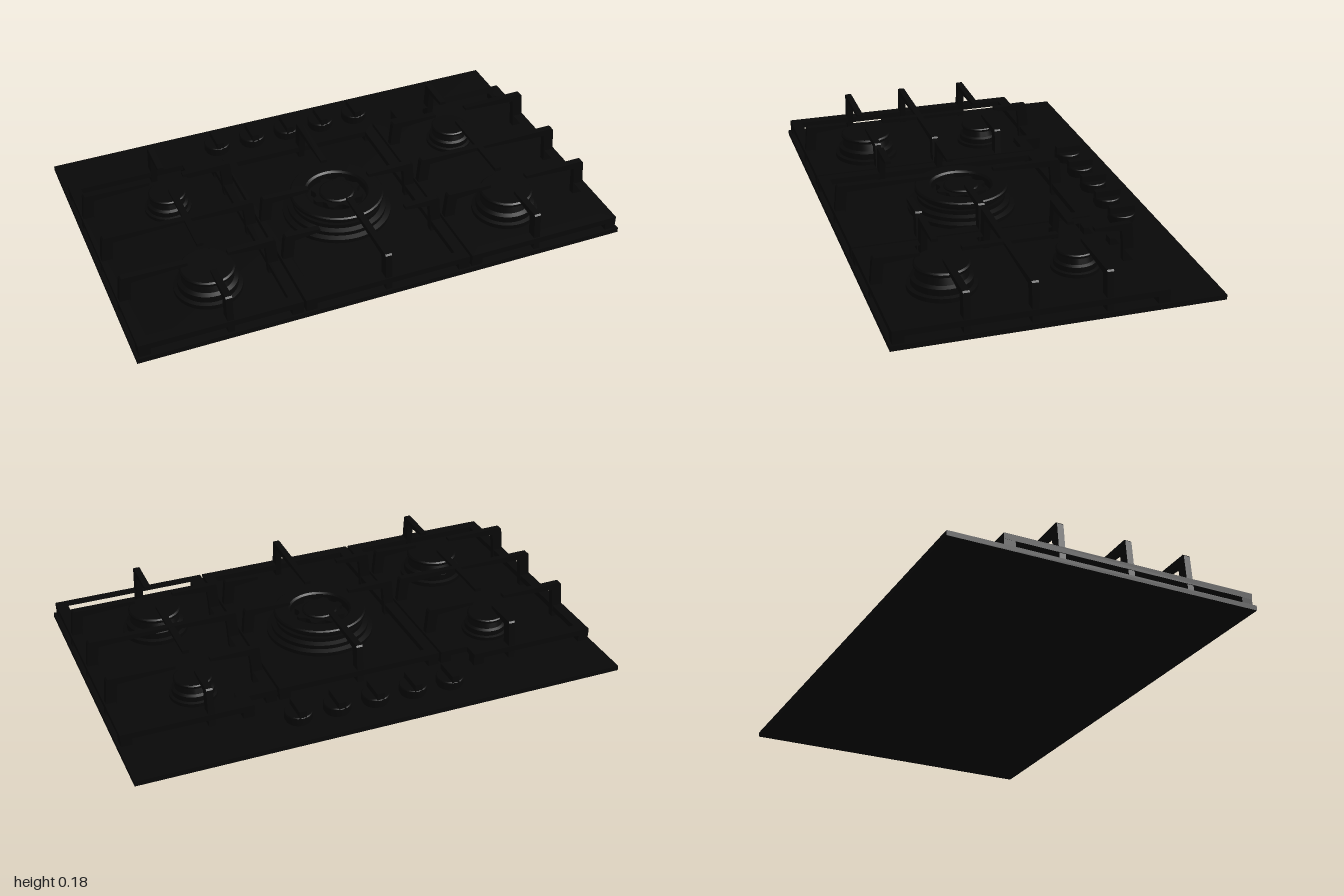
import * as THREE from 'three';
import { toCreasedNormals } from 'three/addons/utils/BufferGeometryUtils.js';

const DECK = 0.02, FRAME_TOP = 0.072, FRAME_LOW = 0.048, BAR = 0.045;

export function createModel() {
  const model = new THREE.Group();
  model.name = 'gasHob';
  const black = new THREE.MeshStandardMaterial({ color: 0x080808 });

  function add(name, geometry, parent = model, x = 0, y = 0, z = 0) {
    const mesh = new THREE.Mesh(geometry, black);
    mesh.name = name;
    mesh.position.set(x, y, z);
    parent.add(mesh);
    return mesh;
  }
  function group(name, x = 0, y = 0, z = 0) {
    const g = new THREE.Group();
    g.name = name;
    g.position.set(x, y, z);
    model.add(g);
    return g;
  }
  const points = list => list.map(([x, y]) => new THREE.Vector2(x, y));
  const lathe = (profile, sides = 48) =>
    toCreasedNormals(new THREE.LatheGeometry(points(profile), sides), 0.5);

  // Flat ring of bars following an outline in x and z
  function frame(parent, outer, inner) {
    const shape = new THREE.Shape(points(outer));
    shape.holes.push(new THREE.Path(points(inner)));
    const geo = new THREE.ExtrudeGeometry(shape, { depth: FRAME_TOP - FRAME_LOW, bevelEnabled: false });
    geo.rotateX(Math.PI / 2);
    add('grateFrame', geo, parent, 0, FRAME_TOP, 0);
  }

  // Bent finger: leg rising from the deck, then a tapering arm pointing inward
  function finger(parent, x, z, angle, length) {
    const shape = new THREE.Shape(points([
      [0, DECK], [0.045, DECK], [0.05, 0.1], [0.056, 0.15], [length, 0.162], [length, 0.174],
      [0.02, 0.178], [0.014, 0.172],
    ]));
    const geo = new THREE.ExtrudeGeometry(shape, { depth: 0.026, bevelEnabled: false });
    geo.translate(0, 0, -0.013);
    add('grateFinger', geo, parent, x, 0, z).rotation.y = angle;
  }

  function foot(parent, x, z) {
    const h = FRAME_LOW - DECK;
    add('grateFoot', new THREE.BoxGeometry(BAR, h, BAR), parent, x, DECK + h / 2, z);
  }

  // Deck plate
  add('deck', new THREE.BoxGeometry(2, DECK, 1.26), model, 0, DECK / 2, 0);

  // Side grates, with a stepped back corner beside the knobs
  for (const s of [1, -1]) {
    const grate = group(s > 0 ? 'leftGrate' : 'rightGrate');
    const mirror = list => list.map(([x, z]) => [s * x, z]);
    frame(grate,
      mirror([[0.99, -0.41], [0.465, -0.41], [0.465, -0.345], [0.35, -0.345], [0.35, 0.62], [0.99, 0.62]]),
      mirror([[0.945, -0.365], [0.51, -0.365], [0.51, -0.3], [0.395, -0.3], [0.395, 0.575], [0.945, 0.575]]));
    for (const [x, z] of [[0.967, -0.387], [0.488, -0.387], [0.373, -0.322], [0.373, 0.597], [0.967, 0.597]])
      foot(grate, s * x, z);
    const inward = s > 0 ? Math.PI : 0;
    for (const [z, outerLength, innerLength] of [[-0.18, 0.285, 0.215], [0.1, 0.33, 0.32], [0.35, 0.275, 0.205]]) {
      finger(grate, s * 0.99, z, inward, outerLength);
      finger(grate, s * 0.35, z, Math.PI - inward, innerLength);
    }
    finger(grate, s * 0.635, -0.41, -Math.PI / 2, 0.165);
    finger(grate, s * 0.635, 0.62, Math.PI / 2, 0.19);
    add('grateBridge', new THREE.BoxGeometry(0.026, 0.014, 0.37), grate, s * 0.635, 0.167, 0.085);
  }

  // Centre grate
  const centre = group('centreGrate');
  frame(centre,
    [[-0.34, -0.345], [0.34, -0.345], [0.34, 0.62], [-0.34, 0.62]],
    [[-0.295, -0.3], [0.295, -0.3], [0.295, 0.575], [-0.295, 0.575]]);
  for (const s of [1, -1]) {
    const inward = s > 0 ? Math.PI : 0;
    finger(centre, s * 0.34, 0.1, inward, 0.21);
    finger(centre, s * 0.34, 0.35, inward, 0.16);
    for (const z of [-0.322, 0.597]) foot(centre, s * 0.317, z);
  }
  finger(centre, 0, -0.345, -Math.PI / 2, 0.3);
  finger(centre, 0, 0.62, Math.PI / 2, 0.4);

  // Corner burners: flared body under a flat cap
  function burner(name, x, z, r, top) {
    const g = group(name, x, 0, z);
    const h = top - DECK, y = t => DECK + t * h;
    add('burnerBody', lathe([
      [r * 1.25, DECK], [r * 1.25, y(0.17)], [r * 1.1, y(0.2)], [r * 1.1, y(0.45)],
      [r * 0.95, y(0.52)], [r * 0.85, y(0.85)], [0, y(0.85)],
    ]), g);
    add('burnerCap', lathe([
      [0, y(0.84)], [r * 0.98, y(0.84)], [r, y(0.88)], [r, y(0.95)], [r * 0.94, top], [0, top],
    ]), g);
  }
  for (const s of [1, -1]) {
    const side = s > 0 ? 'left' : 'right';
    burner(side + 'FrontBurner', s * 0.635, 0.345, 0.107, 0.124);
    burner(side + 'BackBurner', s * 0.635, -0.175, 0.076, 0.104);
  }

  // Large centre burner: outer ring crown around a notched inner crown
  const wok = group('centreBurner', 0, 0, 0.09);
  add('burnerBase', lathe([
    [0.22, DECK], [0.22, 0.036], [0.2, 0.042], [0.2, 0.058], [0.18, 0.064], [0.18, 0.08], [0, 0.08],
  ], 64), wok);
  add('outerCrown', lathe([
    [0.165, 0.078], [0.17, 0.1], [0.19, 0.102], [0.19, 0.114], [0.184, 0.119],
    [0.13, 0.119], [0.122, 0.112], [0.122, 0.078],
  ], 64), wok);
  const star = new THREE.Shape();
  for (let i = 0; i < 32; i++) {
    const r = i % 4 < 2 ? 0.105 : 0.085, a = (i + 0.5) / 32 * Math.PI * 2;
    star[i ? 'lineTo' : 'moveTo'](r * Math.cos(a), r * Math.sin(a));
  }
  const crown = new THREE.ExtrudeGeometry(star, { depth: 0.028, bevelEnabled: false });
  crown.rotateX(-Math.PI / 2);
  add('innerCrown', crown, wok, 0, 0.08, 0);
  add('innerCap', lathe([[0.072, 0.106], [0.072, 0.114], [0.066, 0.118], [0, 0.118]]), wok);

  // Row of control knobs with a raised grip
  for (let i = -2; i <= 2; i++) {
    const knob = group('knob', i * 0.159, 0, -0.487);
    add('knobBase', lathe([
      [0.05, DECK], [0.05, 0.028], [0.055, 0.03], [0.055, 0.056], [0.052, 0.06], [0, 0.06],
    ], 32), knob);
    add('knobGrip', new THREE.BoxGeometry(0.03, 0.03, 0.106), knob, 0, 0.071, 0);
  }

  return model;
}
